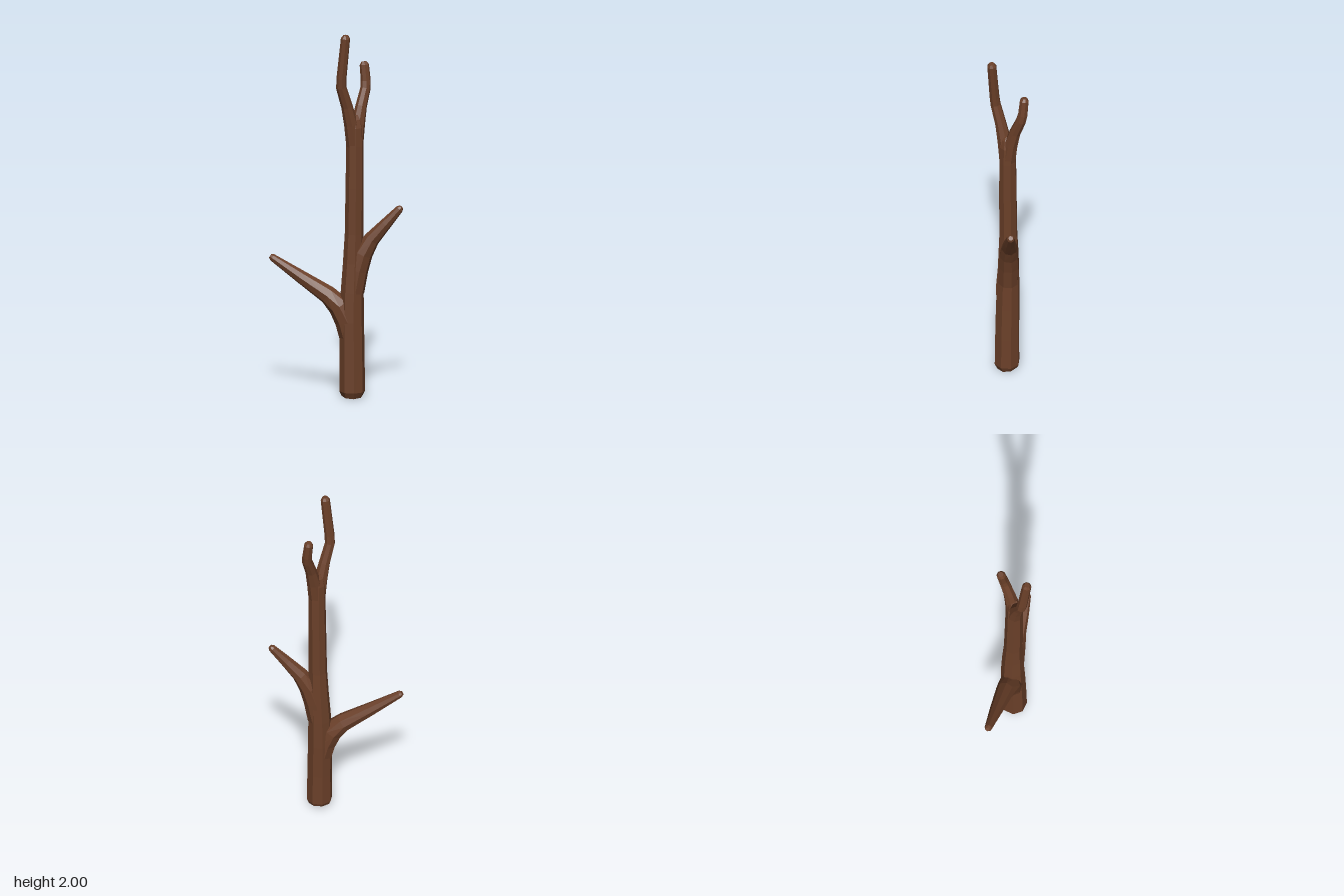
import * as THREE from 'three';

const SIDES = 8;
const bark = new THREE.MeshStandardMaterial({ color: 0x6b4029, flatShading: true });

// Sweeps a faceted ring along stations [x, y, z, radius] and closes both ends.
function limb(name, stations, roundTip = true) {
  const points = stations.map(([x, y, z]) => new THREE.Vector3(x, y, z));
  const radii = stations.map((s) => s[3]);
  if (roundTip) {
    // Blunt, bevelled end: one smaller ring beyond the last station.
    const n = points.length - 1;
    const dir = points[n].clone().sub(points[n - 1]).normalize();
    points.push(points[n].clone().addScaledVector(dir, radii[n] * 0.65));
    radii.push(radii[n] * 0.6);
  }
  const last = points.length - 1;
  const pos = [];
  const index = [];
  points.forEach((p, i) => {
    const t = points[Math.min(i + 1, last)].clone().sub(points[Math.max(i - 1, 0)]).normalize();
    const u = new THREE.Vector3(0, 0, 1);
    u.addScaledVector(t, -u.dot(t)).normalize();
    const v = t.clone().cross(u);
    for (let j = 0; j < SIDES; j++) {
      const a = ((j + 0.5) / SIDES) * Math.PI * 2;
      const q = p.clone()
        .addScaledVector(u, Math.cos(a) * radii[i])
        .addScaledVector(v, Math.sin(a) * radii[i]);
      pos.push(q.x, q.y, q.z);
    }
  });
  const at = (i, j) => i * SIDES + (j % SIDES);
  for (let i = 0; i < last; i++) {
    for (let j = 0; j < SIDES; j++) {
      index.push(at(i, j), at(i, j + 1), at(i + 1, j + 1));
      index.push(at(i, j), at(i + 1, j + 1), at(i + 1, j));
    }
  }
  for (let j = 1; j < SIDES - 1; j++) {
    index.push(at(0, 0), at(0, j + 1), at(0, j));
    index.push(at(last, 0), at(last, j), at(last, j + 1));
  }
  const geometry = new THREE.BufferGeometry();
  geometry.setAttribute('position', new THREE.Float32BufferAttribute(pos, 3));
  geometry.setIndex(index);
  geometry.computeVertexNormals();
  const mesh = new THREE.Mesh(geometry, bark);
  mesh.name = name;
  return mesh;
}

export function createModel() {
  const group = new THREE.Group();
  group.name = 'branchedStick';

  // Main stem, with a slightly slanted, bevelled cut at the foot
  group.add(limb('stem', [
    [0.067, 0.015, 0.052, 0.058],
    [0.065, 0.04, 0.056, 0.069],
    [0.065, 0.22, 0.055, 0.067],
    [0.065, 0.42, 0.051, 0.066],
    [0.068, 0.58, 0.05, 0.062],
    [0.074, 0.74, 0.052, 0.056],
    [0.076, 0.9, 0.056, 0.05],
    [0.077, 1.15, 0.06, 0.049],
    [0.078, 1.38, 0.062, 0.047],
    [0.077, 1.48, 0.062, 0.045],
    [0.076, 1.525, 0.061, 0.034],
  ]));

  // Low branch, reaching back to the right
  group.add(limb('lowerBranch', [
    [0.062, 0.31, 0.048, 0.056],
    [0.04, 0.42, 0.034, 0.06],
    [0.012, 0.5, 0.01, 0.06],
    [-0.035, 0.56, -0.03, 0.05],
    [-0.15, 0.655, -0.12, 0.036],
    [-0.272, 0.757, -0.213, 0.02],
  ]));

  // Higher branch, reaching forward to the left
  group.add(limb('upperBranch', [
    [0.075, 0.58, 0.056, 0.056],
    [0.093, 0.7, 0.068, 0.056],
    [0.115, 0.79, 0.084, 0.053],
    [0.152, 0.87, 0.112, 0.043],
    [0.21, 0.955, 0.16, 0.032],
    [0.27, 1.04, 0.205, 0.021],
  ]));

  // Two upright tines of the fork at the top
  group.add(limb('tallTine', [
    [0.074, 1.38, 0.062, 0.043],
    [0.053, 1.5, 0.064, 0.038],
    [0.026, 1.6, 0.066, 0.031],
    [-0.012, 1.71, 0.07, 0.028],
    [-0.014, 1.76, 0.076, 0.027],
    [-0.005, 1.983, 0.103, 0.025],
  ]));
  group.add(limb('shortTine', [
    [0.08, 1.38, 0.062, 0.043],
    [0.1, 1.5, 0.058, 0.038],
    [0.124, 1.59, 0.05, 0.031],
    [0.158, 1.68, 0.037, 0.028],
    [0.164, 1.72, 0.03, 0.027],
    [0.162, 1.805, 0.018, 0.025],
  ]));

  return group;
}
